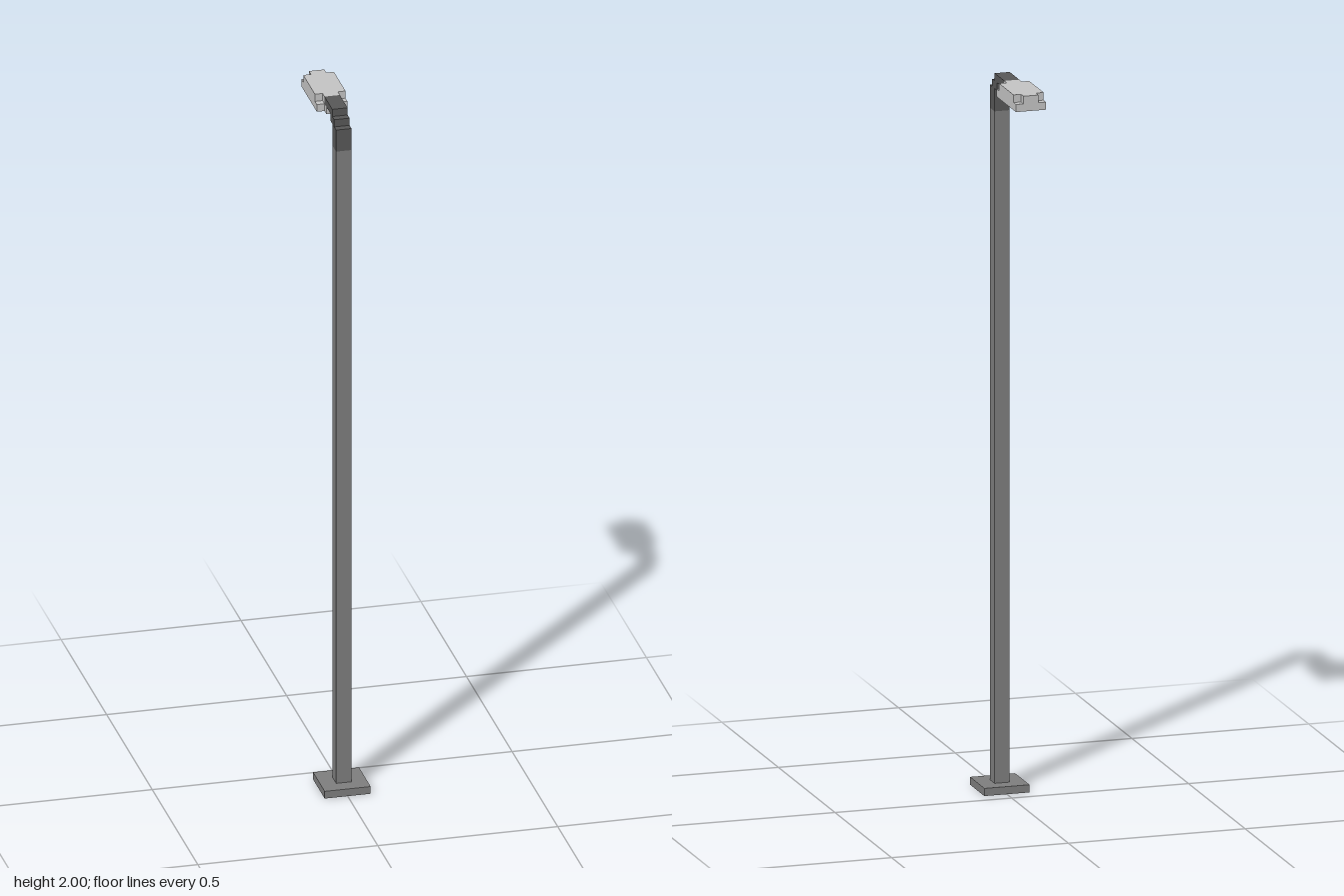
import * as THREE from 'three';

// Everything sits on a block grid: 94 units make the full height.
const U = 2 / 94;

const material = (name, color) => {
  const m = new THREE.MeshStandardMaterial({ color });
  m.name = name;
  return m;
};

export function createModel() {
  const group = new THREE.Group();
  group.name = 'streetLamp';
  const poleGrey = material('pole grey', 0x7d7d7d);
  const darkGrey = material('dark grey', 0x575757);
  const lightGrey = material('light grey', 0xc2c2c2);
  const lampYellow = material('lamp yellow', 0xe6e600);

  // Box centred on x, given its half width and its y and z ranges in grid units
  const block = (name, mat, halfX, y0, y1, z0, z1) => {
    const geo = new THREE.BoxGeometry(2 * halfX * U, (y1 - y0) * U, (z1 - z0) * U);
    const mesh = new THREE.Mesh(geo, mat);
    mesh.name = name;
    mesh.position.set(0, ((y0 + y1) / 2) * U, ((z0 + z1) / 2) * U);
    group.add(mesh);
  };

  // Foot plate and post
  block('base', poleGrey, 3, 0, 1, 2, 8);
  block('pole', poleGrey, 1, 1, 89, 4, 6);

  // Stepped bend at the top of the post
  block('poleCap', darkGrey, 1, 89, 92, 4, 6);
  block('elbow', darkGrey, 1, 92, 93, 3, 5);
  block('arm', darkGrey, 1, 93, 94, 0, 4);

  // Lamp head: full lower tray, top layer with notched corners
  block('headConnector', lightGrey, 1, 92, 93, 0, 1);
  block('headTray', lightGrey, 2, 92, 93, -8, 0);
  block('headTop', lightGrey, 2, 93, 94, -7, -1);
  block('headTopBack', lightGrey, 1, 93, 94, -8, -7);
  block('headTopFront', lightGrey, 1, 93, 94, -1, 0);

  // Light panel on the underside
  block('lightPanel', lampYellow, 1, 91.93, 92.1, -6, -2);

  return group;
}
